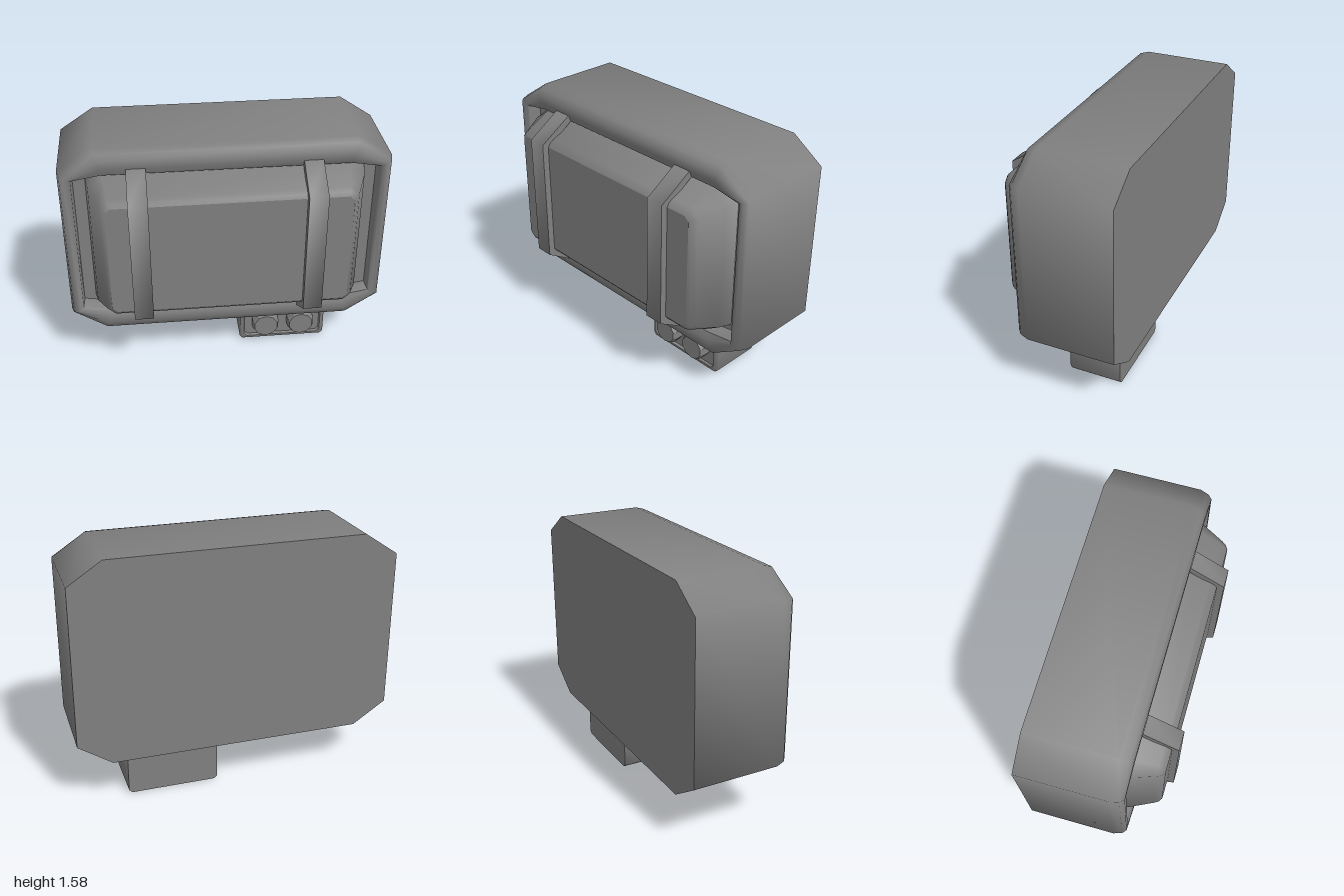
import * as THREE from 'three';
import { mergeGeometries, toCreasedNormals } from 'three/addons/utils/BufferGeometryUtils.js';

const material = new THREE.MeshStandardMaterial({ color: 0x808080 });
const CREASE = 1.1;

// Rectangle with cut corners, counter-clockwise as seen from the front
function octagon([z, x0, x1, y0, y1, cx, cy]) {
  return [
    [x1, y0 + cy, z], [x1, y1 - cy, z], [x1 - cx, y1, z], [x0 + cx, y1, z],
    [x0, y1 - cy, z], [x0, y0 + cy, z], [x0 + cx, y0, z], [x1 - cx, y0, z],
  ];
}

function smoothed(triangles) {
  const geometry = new THREE.BufferGeometry();
  geometry.setAttribute('position', new THREE.Float32BufferAttribute(triangles.flat(2), 3));
  return toCreasedNormals(geometry, CREASE);
}

// Skin a series of octagons from back to front, with smooth sides and flat ends
function loft(sections) {
  const rings = sections.map(octagon);
  const sides = [], ends = [];
  for (let k = 0; k < rings.length - 1; k++) {
    for (let i = 0; i < 8; i++) {
      const j = (i + 1) % 8;
      sides.push([rings[k][i], rings[k][j], rings[k + 1][j]]);
      sides.push([rings[k][i], rings[k + 1][j], rings[k + 1][i]]);
    }
  }
  const back = rings[0], front = rings[rings.length - 1];
  for (let i = 1; i < 7; i++) {
    ends.push([back[0], back[i + 1], back[i]], [front[0], front[i], front[i + 1]]);
  }
  return mergeGeometries([smoothed(sides), smoothed(ends)]);
}

function add(parent, name, geometry) {
  const mesh = new THREE.Mesh(geometry, material);
  mesh.name = name;
  parent.add(mesh);
  return mesh;
}

export function createModel() {
  const group = new THREE.Group();
  group.name = 'lamp';

  // Housing with a rounded rim around a recessed front
  add(group, 'housing', loft([
    [-0.42, -1, 1, 0.30, 1.583, 0.21, 0.14],
    [0.13, -1, 1, 0.30, 1.583, 0.21, 0.14],
    [0.185, -0.985, 0.985, 0.315, 1.568, 0.205, 0.135],
    [0.208, -0.96, 0.96, 0.36, 1.53, 0.19, 0.10],
    [0.208, -0.935, 0.935, 0.41, 1.48, 0.185, 0.06],
    [0.19, -0.92, 0.92, 0.455, 1.435, 0.18, 0.03],
    [0.10, -0.915, 0.915, 0.46, 1.43, 0.18, 0.03],
  ]));

  // Raised lens with sloping sides and a softened edge around a flat face
  add(group, 'lens', loft([
    [0.08, -0.845, 0.845, 0.455, 1.435, 0.10, 0.06],
    [0.19, -0.825, 0.825, 0.475, 1.415, 0.09, 0.06],
    [0.335, -0.765, 0.765, 0.535, 1.355, 0.05, 0.045],
    [0.362, -0.75, 0.75, 0.552, 1.338, 0.04, 0.035],
    [0.378, -0.73, 0.73, 0.575, 1.315, 0.03, 0.03],
  ]));

  // Bent guard straps across the lens: z against y, extruded along x
  const strap = new THREE.Shape([
    [-0.18, 0.41], [-0.21, 0.41], [-0.42, 0.54], [-0.42, 1.34],
    [-0.21, 1.475], [-0.18, 1.475], [-0.18, 1.44], [-0.37, 1.315],
    [-0.37, 0.565], [-0.18, 0.45],
  ].map(([x, y]) => new THREE.Vector2(x, y)));
  const strapGeometry = toCreasedNormals(
    new THREE.ExtrudeGeometry(strap, { depth: 0.117, bevelEnabled: false }), CREASE);
  for (const [name, x] of [['rightStrap', -0.597], ['leftStrap', 0.45]]) {
    const mesh = add(group, name, strapGeometry);
    mesh.rotation.y = Math.PI / 2;
    mesh.position.x = x;
  }

  // Control box below the housing, with a framed, sunken front
  const controls = new THREE.Group();
  controls.name = 'controlBox';
  group.add(controls);
  add(controls, 'controlCase', loft([
    [-0.318, 0.105, 0.683, 0, 0.305, 0.02, 0.02],
    [0.015, 0.105, 0.683, 0, 0.305, 0.02, 0.02],
    [0.03, 0.118, 0.670, 0.013, 0.292, 0.02, 0.02],
    [0.03, 0.132, 0.656, 0.028, 0.278, 0.02, 0.02],
    [0.012, 0.138, 0.650, 0.034, 0.272, 0.02, 0.02],
  ]));

  // Two faceted knobs with bevelled fronts
  const profile = [[0, 0], [0.092, 0], [0.092, 0.055], [0.08, 0.08], [0, 0.08]]
    .map(([r, y]) => new THREE.Vector2(r, y));
  const knobGeometry = toCreasedNormals(new THREE.LatheGeometry(profile, 10), 0.5);
  for (const [name, x] of [['innerKnob', 0.275], ['outerKnob', 0.513]]) {
    const knob = add(controls, name, knobGeometry);
    knob.rotation.x = Math.PI / 2;
    knob.position.set(x, 0.148, 0.006);
  }

  return group;
}
